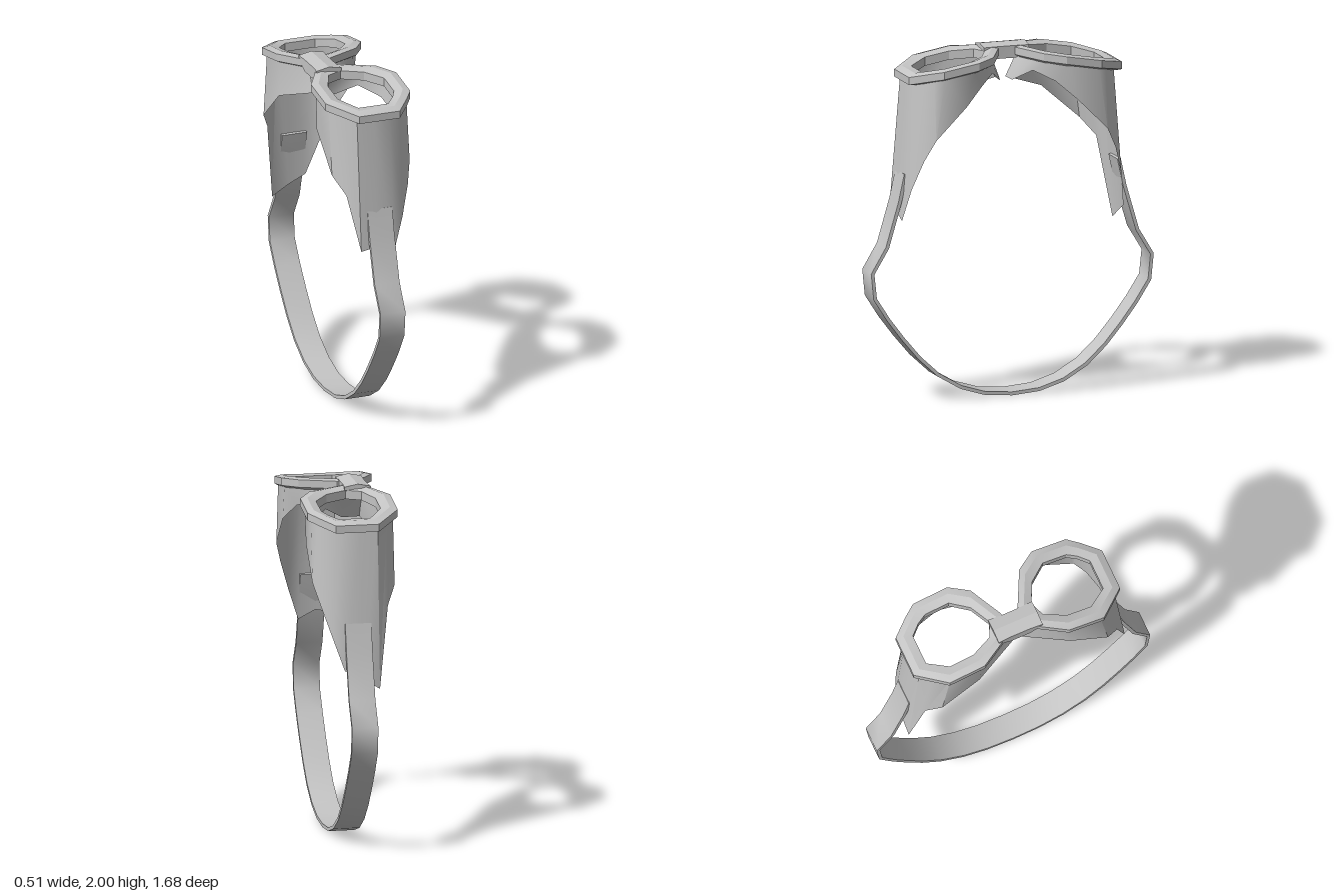
import * as THREE from 'three';
import { toCreasedNormals } from 'three/addons/utils/BufferGeometryUtils.js';

const grey = new THREE.MeshStandardMaterial({ color: 0xc4c4c4, side: THREE.DoubleSide });
grey.name = 'light grey';

// Skin a list of closed rings; join = last ring meets the first, caps = close both ends.
function loft(name, rings, { join = false, caps = false, crease = 0.6 } = {}) {
  const n = rings[0].length, m = rings.length, index = [];
  for (let i = 0; i < (join ? m : m - 1); i++) {
    for (let j = 0; j < n; j++) {
      const a = i * n + j, b = i * n + (j + 1) % n;
      const c = ((i + 1) % m) * n + j, d = ((i + 1) % m) * n + (j + 1) % n;
      index.push(a, b, d, a, d, c);
    }
  }
  if (caps) {
    const e = (m - 1) * n;
    for (let j = 1; j < n - 1; j++) index.push(0, j + 1, j, e, e + j, e + j + 1);
  }
  const geo = new THREE.BufferGeometry();
  geo.setAttribute('position', new THREE.Float32BufferAttribute(rings.flat(2), 3));
  geo.setIndex(index);
  const mesh = new THREE.Mesh(toCreasedNormals(geo.toNonIndexed(), crease), grey);
  mesh.name = name;
  return mesh;
}

// Height of the curved rim line, falling away from the bridge
const rimY = (z) => 1.97 - 0.24 * z * z;

// Eyepiece outlines as [x, z]
const rimOuter = [[-0.12, 0.635], [0.125, 0.635], [0.205, 0.54], [0.255, 0.47], [0.255, 0.26],
  [0.18, 0.15], [-0.02, 0.05], [-0.15, 0.07], [-0.26, 0.26], [-0.26, 0.475]];
const rimInner = [[-0.09, 0.545], [0.09, 0.545], [0.14, 0.49], [0.17, 0.435], [0.17, 0.29],
  [0.09, 0.19], [-0.03, 0.13], [-0.115, 0.165], [-0.17, 0.29], [-0.17, 0.435]];

// Cup wall: [top x, top z, bottom x, bottom y, bottom z]
const cupWall = [[-0.12, 0.6, -0.12, 1.08, 0.665], [-0.02, 0.605, -0.02, 1.1, 0.665],
  [0.08, 0.6, 0.08, 1.05, 0.66],
  [0.16, 0.55, 0.145, 1.24, 0.625], [0.205, 0.51, 0.2, 1.41, 0.57], [0.235, 0.46, 0.235, 1.53, 0.51],
  [0.235, 0.28, 0.235, 1.71, 0.33], [0.17, 0.18, 0.18, 1.81, 0.22], [0.08, 0.13, 0.08, 1.86, 0.12],
  [-0.02, 0.09, -0.03, 1.79, 0.035], [-0.13, 0.1, -0.13, 1.79, 0.03],
  [-0.235, 0.27, -0.235, 1.7, 0.28], [-0.235, 0.46, -0.235, 1.5, 0.51], [-0.18, 0.55, -0.18, 1.4, 0.59]];

function makeRim(side) {
  // [blend from outer to inner outline, height above the rim line]
  const profile = [[0, -0.035], [0, 0.008], [0.45, 0.016], [1, 0], [1, -0.05], [0.35, -0.05]];
  const rings = profile.map(([t, h]) => rimOuter.map(([x, z], i) => {
    const px = x + (rimInner[i][0] - x) * t, pz = z + (rimInner[i][1] - z) * t;
    return [px, rimY(pz) + h, pz * side];
  }));
  return loft('rim', rings, { join: true, crease: 0.35 });
}

function makeCup(side) {
  const top = cupWall.map(([x, z]) => [x, rimY(z) - 0.035, z * side]);
  // the rear cup reaches a little further down at its temple corner
  const bottom = cupWall.map(([, , x, y, z], i) =>
    [x, side < 0 && i < 2 ? y - (i ? 0.1 : 0.14) : y, z * side]);
  return loft('cup', [top, bottom], { crease: 0.62 });
}

// Strap: flat band swept along a mirrored path of [z, y]
function makeStrap() {
  const half = [[0.635, 1.315], [0.67, 1.155], [0.745, 0.9], [0.832, 0.755], [0.817, 0.61],
    [0.737, 0.485], [0.65, 0.37], [0.553, 0.255], [0.44, 0.15], [0.305, 0.07], [0.16, 0.025]];
  const path = [...half, [0, 0.012], ...half.map(([z, y]) => [-z, y]).reverse()];
  const w = 0.075, t = 0.01;
  const rings = path.map(([z, y], i) => {
    const a = path[Math.max(i - 1, 0)], b = path[Math.min(i + 1, path.length - 1)];
    const len = Math.hypot(b[0] - a[0], b[1] - a[1]);
    const nz = -(b[1] - a[1]) / len * t, ny = (b[0] - a[0]) / len * t;
    return [[-w, y + ny, z + nz], [w, y + ny, z + nz], [w, y - ny, z - nz], [-w, y - ny, z - nz]];
  });
  return loft('strap', rings, { caps: true, crease: 0.75 });
}

// Bridge: ridged bar joining the two rims
function makeBridge() {
  const sections = [[-0.135, 0.075, 1.965], [-0.06, 0.07, 1.915], [0.06, 0.07, 1.915], [0.135, 0.075, 1.965]];
  const rings = sections.map(([z, w, low]) => [[-0.1 - w, low, z], [-0.1 - w, 1.985, z],
    [-0.1, 2, z], [-0.1 + w, 1.985, z], [-0.1 + w, low, z]]);
  return loft('bridge', rings, { caps: true, crease: 0.15 });
}

export function createModel() {
  const model = new THREE.Group();
  model.name = 'goggles';
  for (const side of [1, -1]) {
    const eyepiece = new THREE.Group();
    eyepiece.name = side > 0 ? 'frontEyepiece' : 'rearEyepiece';
    eyepiece.add(makeRim(side), makeCup(side));
    model.add(eyepiece);
  }
  model.add(makeBridge(), makeStrap());
  return model;
}
